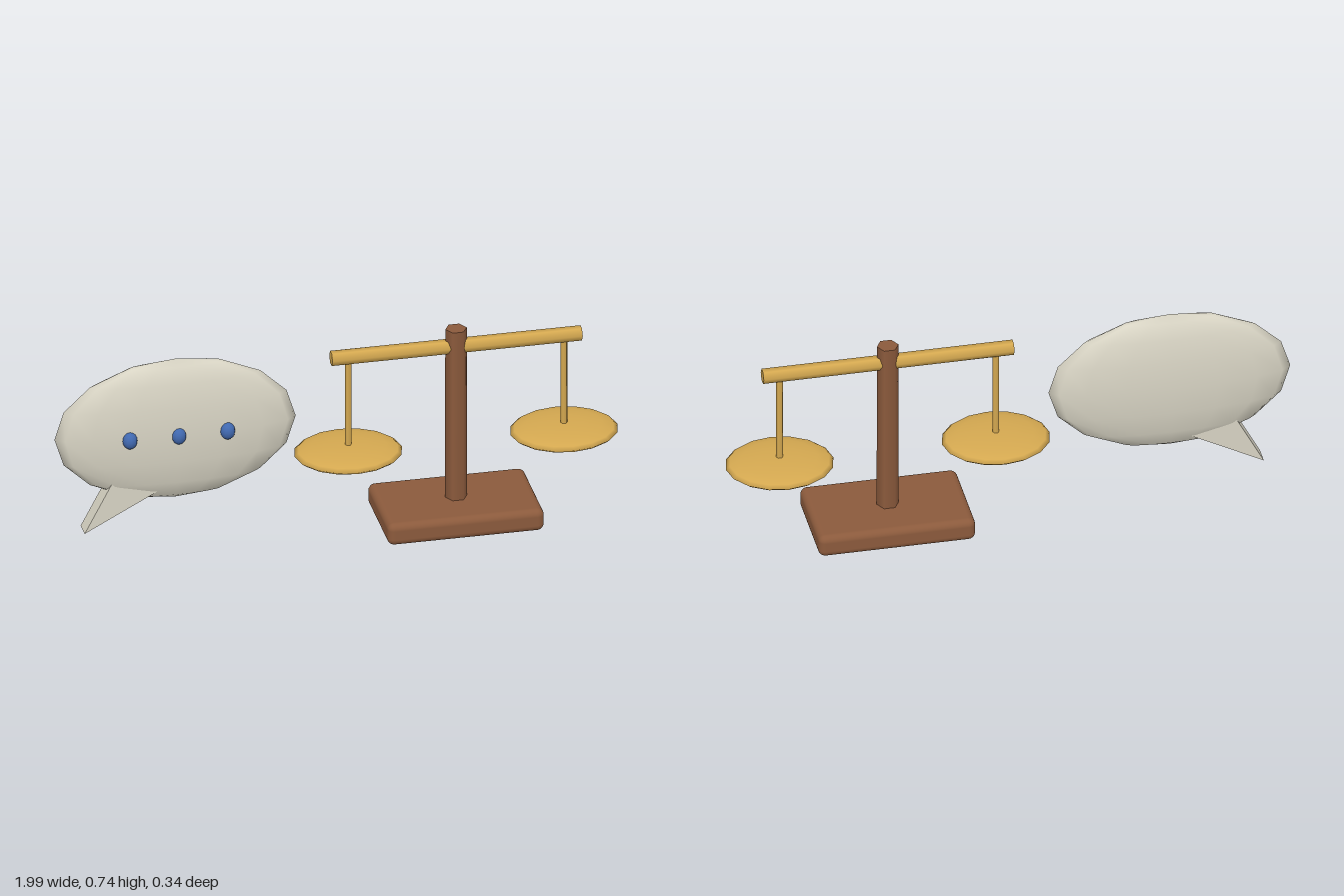
import * as THREE from 'three';
import { RoundedBoxGeometry } from 'three/addons/geometries/RoundedBoxGeometry.js';

const material = (name, color) => {
  const m = new THREE.MeshStandardMaterial({ color });
  m.name = name;
  return m;
};

export function createModel() {
  const wood = material('brown wood', 0x8b5a3c);
  const brass = material('brass', 0xd4a850);
  const ivory = material('ivory', 0xd8d4c4);
  const blue = material('blue', 0x4169b0);
  const model = new THREE.Group();
  model.name = 'scalesAndSpeechBubble';

  const add = (parent, name, geometry, mat, x, y, z) => {
    const mesh = new THREE.Mesh(geometry, mat);
    mesh.name = name;
    mesh.position.set(x, y, z);
    parent.add(mesh);
    return mesh;
  };
  const ellipsoid = (rx, ry, rz, w, h) => new THREE.SphereGeometry(1, w, h).scale(rx, ry, rz);

  // Speech bubble: flattened body
  const bubble = new THREE.Group();
  bubble.name = 'speechBubble';
  model.add(bubble);
  add(bubble, 'bubbleBody', ellipsoid(0.427, 0.268, 0.067, 16, 8), ivory, -0.573, 0.461, 0);

  // Tail: triangular prism pointing down and outwards
  const tail = new THREE.Shape([[-0.9, 0.1], [-0.635, 0.24], [-0.805, 0.28]].map(p => new THREE.Vector2(...p)));
  const depth = 0.064;
  add(bubble, 'bubbleTail', new THREE.ExtrudeGeometry(tail, { depth, bevelEnabled: false }), ivory, 0, 0, -depth / 2);

  // Three dots on the front
  for (const i of [-1, 0, 1]) {
    add(bubble, 'dot', ellipsoid(0.026, 0.031, 0.026, 12, 8), blue, -0.573 + i * 0.173, 0.46, 0.061);
  }

  // Balance scales
  const scales = new THREE.Group();
  scales.name = 'scales';
  scales.position.x = 0.422;
  model.add(scales);
  add(scales, 'base', new RoundedBoxGeometry(0.554, 0.083, 0.345, 3, 0.025), wood, 0, 0.0415, 0);

  // Six-sided post and beam
  const post = new THREE.CylinderGeometry(0.038, 0.039, 0.675, 6).rotateY(Math.PI / 6);
  add(scales, 'post', post, wood, 0, 0.3975, 0);
  const beam = new THREE.CylinderGeometry(0.0265, 0.0265, 0.886, 6).rotateZ(Math.PI / 2);
  add(scales, 'beam', beam, brass, 0, 0.668, 0);

  // Hanging rods and oval pans
  for (const [side, name] of [[-1, 'right'], [1, 'left']]) {
    const x = side * 0.382;
    add(scales, name + 'Rod', new THREE.CylinderGeometry(0.012, 0.012, 0.36, 6).rotateY(Math.PI / 6), brass, x, 0.48, 0);
    add(scales, name + 'Pan', ellipsoid(0.19, 0.029, 0.165, 16, 8), brass, x, 0.299, 0);
  }

  return model;
}
